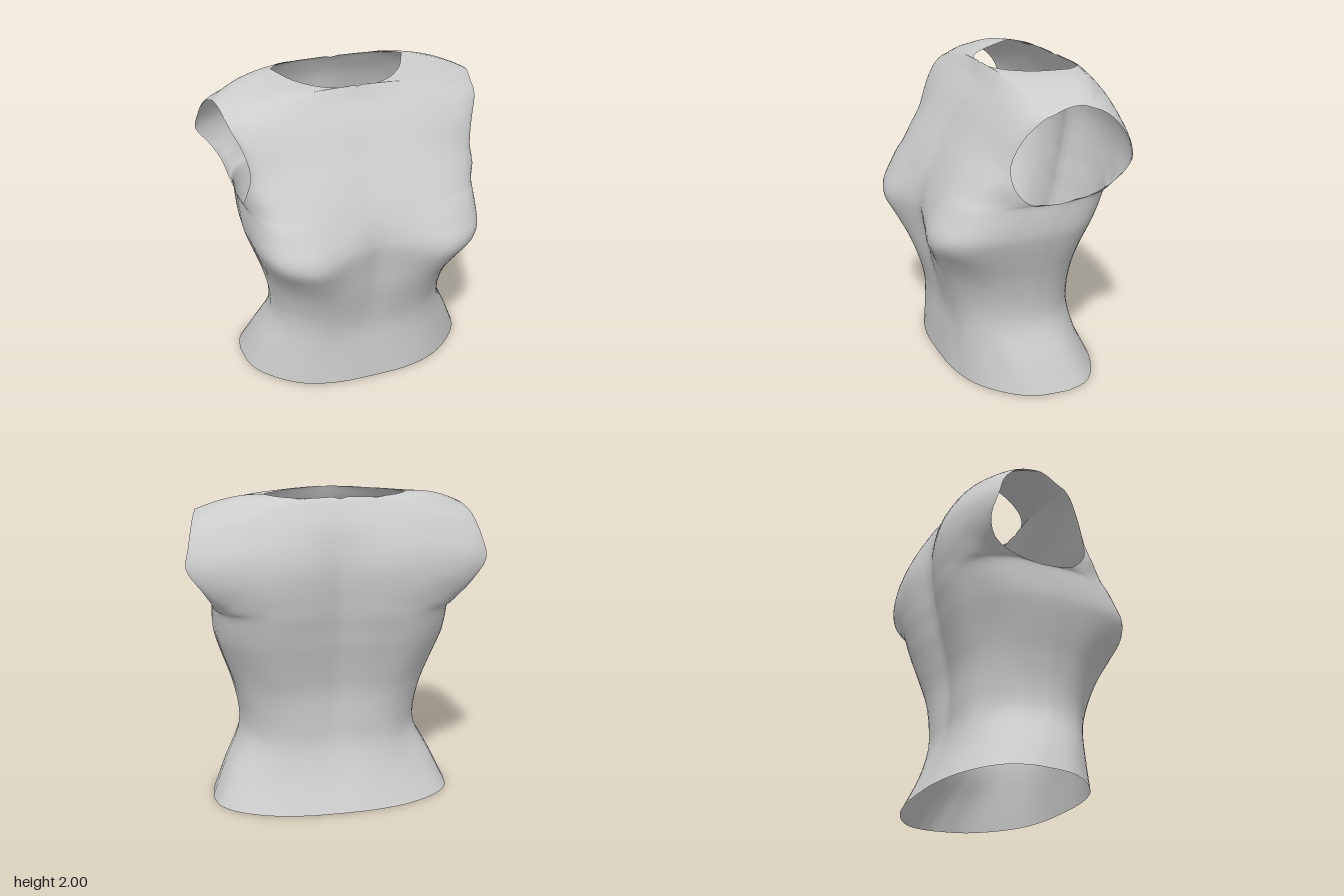
import * as THREE from 'three';
import { mergeVertices } from 'three/addons/utils/BufferGeometryUtils.js';

// Columns run from the centre line out to the side at these fractions of the width
const FRACTIONS = [0, 0.3, 0.6, 0.85, 0.96, 1];
const STEPS_U = 4; // subdivisions between control columns
const STEPS_V = 3; // subdivisions between control rows

// Closed body: height, half width, side z, five front z, five back z
const BODY = [
  [0.00, 0.79, -0.18, 0.41, 0.40, 0.33, 0.17, 0.03, -0.57, -0.56, -0.51, -0.41, -0.31],
  [0.20, 0.70, -0.08, 0.40, 0.39, 0.34, 0.20, 0.08, -0.47, -0.47, -0.42, -0.32, -0.22],
  [0.40, 0.60, 0.00, 0.39, 0.39, 0.36, 0.25, 0.13, -0.40, -0.41, -0.38, -0.26, -0.15],
  [0.55, 0.59, 0.00, 0.41, 0.42, 0.39, 0.27, 0.15, -0.39, -0.41, -0.38, -0.27, -0.15],
  [0.75, 0.63, 0.00, 0.45, 0.48, 0.46, 0.33, 0.19, -0.39, -0.42, -0.40, -0.29, -0.17],
  [0.90, 0.68, 0.00, 0.47, 0.52, 0.54, 0.42, 0.26, -0.42, -0.455, -0.44, -0.32, -0.20],
  [1.02, 0.72, 0.00, 0.49, 0.55, 0.60, 0.51, 0.33, -0.45, -0.49, -0.475, -0.36, -0.23],
  [1.10, 0.74, 0.00, 0.50, 0.555, 0.595, 0.52, 0.36, -0.47, -0.515, -0.50, -0.39, -0.26],
  [1.20, 0.745, -0.03, 0.49, 0.525, 0.545, 0.47, 0.31, -0.49, -0.54, -0.53, -0.43, -0.30],
  [1.29, 0.745, -0.10, 0.465, 0.485, 0.495, 0.42, 0.25, -0.51, -0.565, -0.555, -0.465, -0.34],
];

// Yoke rows: inner x (centre or neckline), outer x (armhole), inner y, outer y, six z
const SHOULDER = [0.435, 0.83, 2.00, 1.90, -0.31, -0.27, -0.23, -0.19, -0.165, -0.15];
const FRONT_YOKE = [
  [0, 0.75, 1.38, 1.315, 0.425, 0.445, 0.45, 0.38, 0.23, 0.09],
  [0, 0.74, 1.50, 1.42, 0.36, 0.38, 0.38, 0.33, 0.26, 0.19],
  [0, 0.71, 1.64, 1.55, 0.28, 0.295, 0.295, 0.265, 0.235, 0.205],
  [0, 0.74, 1.78, 1.70, 0.205, 0.215, 0.215, 0.20, 0.175, 0.15],
  [0, 0.785, 1.90, 1.80, 0.12, 0.13, 0.14, 0.125, 0.10, 0.08],
  [0, 0.80, 1.98, 1.84, 0.085, 0.08, 0.075, 0.06, 0.045, 0.03],
  [0.11, 0.805, 1.98, 1.85, 0.075, 0.06, 0.045, 0.025, 0.01, 0.00],
  [0.23, 0.81, 1.98, 1.87, 0.01, 0.00, -0.01, -0.025, -0.035, -0.045],
  [0.35, 0.82, 1.985, 1.89, -0.13, -0.12, -0.11, -0.095, -0.095, -0.095],
  SHOULDER,
];
const BACK_YOKE = [
  [0, 0.75, 1.38, 1.31, -0.525, -0.58, -0.57, -0.50, -0.40, -0.28],
  [0, 0.77, 1.48, 1.38, -0.54, -0.595, -0.59, -0.53, -0.48, -0.43],
  [0, 0.83, 1.60, 1.48, -0.545, -0.605, -0.595, -0.55, -0.51, -0.485],
  [0, 0.91, 1.72, 1.60, -0.535, -0.585, -0.575, -0.53, -0.49, -0.47],
  [0, 0.89, 1.84, 1.72, -0.51, -0.54, -0.525, -0.48, -0.45, -0.43],
  [0, 0.87, 1.93, 1.81, -0.47, -0.49, -0.475, -0.425, -0.385, -0.36],
  [0, 0.855, 1.98, 1.86, -0.44, -0.46, -0.43, -0.36, -0.32, -0.29],
  [0.20, 0.845, 1.985, 1.88, -0.435, -0.42, -0.38, -0.31, -0.26, -0.235],
  [0.36, 0.835, 1.995, 1.895, -0.40, -0.36, -0.32, -0.26, -0.215, -0.19],
  SHOULDER,
];

// Smooth samples through a list of points, a fixed number per span
function sample(points, steps) {
  const curve = new THREE.CatmullRomCurve3(points);
  const n = (points.length - 1) * steps;
  return Array.from({ length: n + 1 }, (_, i) => curve.getPoint(i / n));
}

// Quarter of the garment as a grid: columns from centre to side, rows from hem to shoulder
function panelColumns(first, yoke) {
  const body = BODY.map((r) => [0, r[1], r[0], r[0], ...r.slice(first, first + 5), r[2]]);
  const rows = [...body, ...yoke].map(([xIn, xOut, yIn, yOut, ...z]) =>
    sample(FRACTIONS.map((f, i) => new THREE.Vector3(
      xIn + (xOut - xIn) * f, yIn + (yOut - yIn) * f * f, z[i])), STEPS_U));
  return rows[0].map((_, c) => {
    const points = rows.map((row) => row[c]);
    if (c < rows[0].length - 1) return sample(points, STEPS_V);
    // The side seam ends at the underarm, where the armhole edge begins
    const seam = BODY.length - 1;
    return [...sample(points.slice(0, seam + 1), STEPS_V),
      ...sample(points.slice(seam), STEPS_V).slice(1)];
  });
}

function createGarmentGeometry() {
  const positions = [];
  const index = [];
  for (const [first, yoke, face] of [[3, FRONT_YOKE, 1], [8, BACK_YOKE, -1]]) {
    const columns = panelColumns(first, yoke);
    const height = columns[0].length;
    for (const side of [1, -1]) {
      const base = positions.length / 3;
      for (const column of columns) {
        for (const p of column) positions.push(side * Math.max(0, p.x), Math.min(2, p.y), p.z);
      }
      for (let c = 0; c < columns.length - 1; c++) {
        for (let r = 0; r < height - 1; r++) {
          const a = base + c * height + r;
          const b = a + height;
          if (side * face > 0) index.push(a, b, b + 1, a, b + 1, a + 1);
          else index.push(a, b + 1, b, a, a + 1, b + 1);
        }
      }
    }
  }
  const geometry = new THREE.BufferGeometry();
  geometry.setAttribute('position', new THREE.Float32BufferAttribute(positions, 3));
  geometry.setIndex(index);
  // Weld the centre, side and shoulder seams so the cloth shades smoothly
  const welded = mergeVertices(geometry, 1e-4);
  welded.computeVertexNormals();
  return welded;
}

export function createModel() {
  const cloth = new THREE.MeshStandardMaterial({ color: 0xcccccc, side: THREE.DoubleSide });
  cloth.name = 'light grey cloth';
  const top = new THREE.Mesh(createGarmentGeometry(), cloth);
  top.name = 'sleevelessTop';
  const group = new THREE.Group();
  group.name = 'garment';
  group.add(top);
  return group;
}
